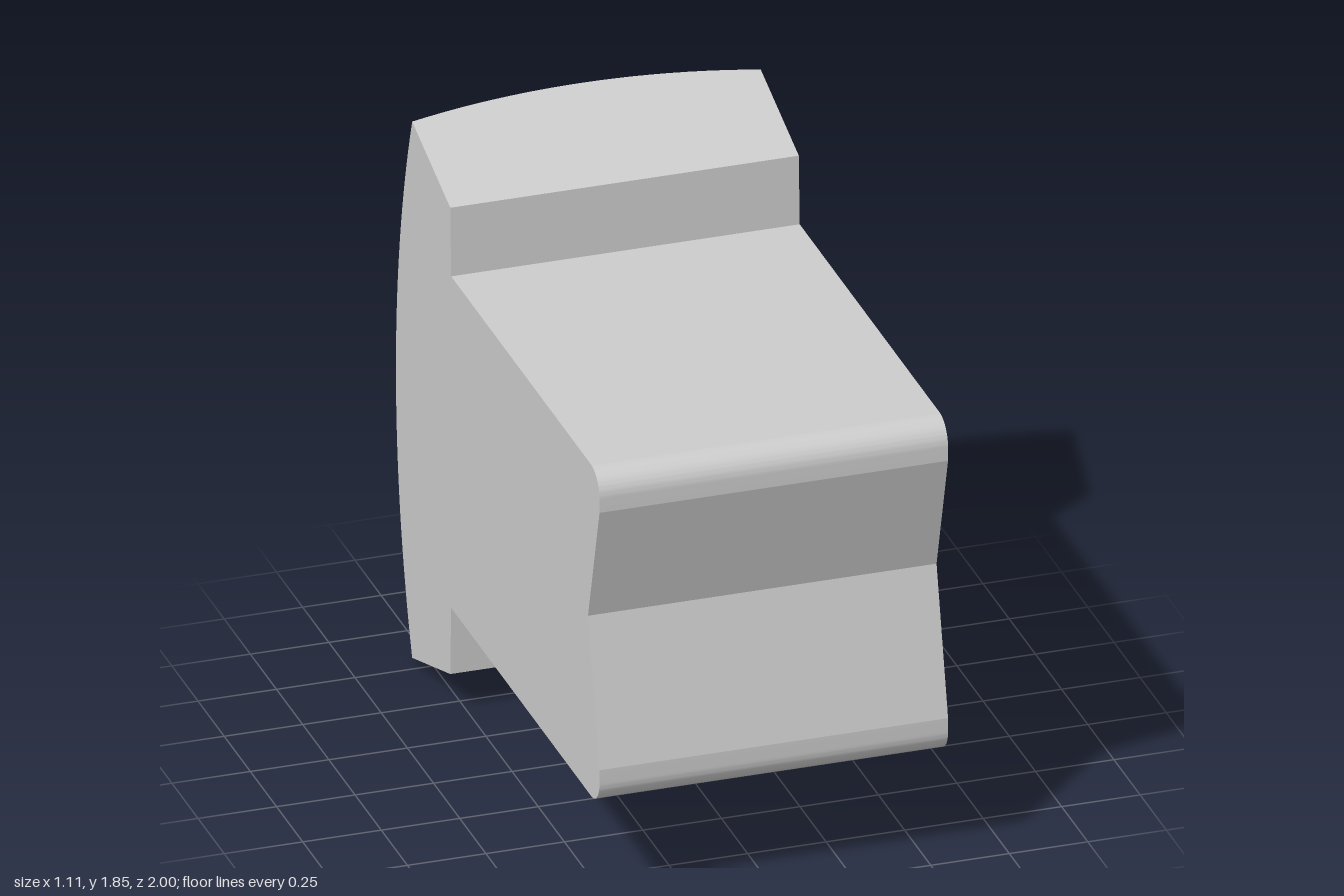
import * as THREE from 'three';
import { toCreasedNormals } from 'three/addons/utils/BufferGeometryUtils.js';

const WIDTH = 1.11, MID = 0.93, RADIUS = 2.78;

// z of the domed back at a given x and height above the middle
const domeZ = (x, h) => RADIUS - 1 - Math.sqrt(RADIUS * RADIUS - x * x - h * h);

// half height where the sloping head edges meet the dome at a given x
function edgeHalfHeight(x) {
  let h = 0.9;
  for (let i = 0; i < 12; i++) h = 0.788 + 0.325 * (-0.425 - domeZ(x, h));
  return h;
}

export function createModel() {
  const group = new THREE.Group();
  group.name = 'domedBlock';

  // Side profile drawn as (z, y): notched, rounded front and wide rear head
  const s = new THREE.Shape();
  s.moveTo(-0.417, 0.37);
  s.lineTo(0.92, 0.37);
  s.absarc(0.92, 0.45, 0.08, -Math.PI / 2, 0, false);
  s.lineTo(1, 0.495);
  s.lineTo(0.89, 0.965);
  s.lineTo(1, 1.365);
  s.absarc(0.92, 1.41, 0.08, 0, Math.PI / 2, false);
  s.lineTo(-0.417, 1.49);
  s.lineTo(-0.425, 1.718);
  const h0 = edgeHalfHeight(0), rows = 32;
  for (let i = 0; i <= rows; i++) {
    const h = h0 * (1 - 2 * i / rows);
    s.lineTo(domeZ(0, h), MID + h);
  }
  s.lineTo(-0.425, 0.142);
  s.closePath();

  const geometry = new THREE.ExtrudeGeometry(s, {
    depth: WIDTH, steps: 20, curveSegments: 10, bevelEnabled: false,
  });
  geometry.rotateY(-Math.PI / 2);
  geometry.translate(WIDTH / 2, 0, 0);

  // Curve the rear face sideways as well, so it becomes part of a sphere
  const p = geometry.attributes.position;
  for (let i = 0; i < p.count; i++) {
    if (p.getZ(i) > -0.6) continue;
    const x = p.getX(i);
    const h = (p.getY(i) - MID) / h0 * edgeHalfHeight(x);
    p.setY(i, MID + h);
    p.setZ(i, domeZ(x, h));
  }

  const block = new THREE.Mesh(
    toCreasedNormals(geometry, 0.2),
    new THREE.MeshStandardMaterial({ color: 0xcccccc }),
  );
  block.name = 'block';
  group.add(block);
  return group;
}
